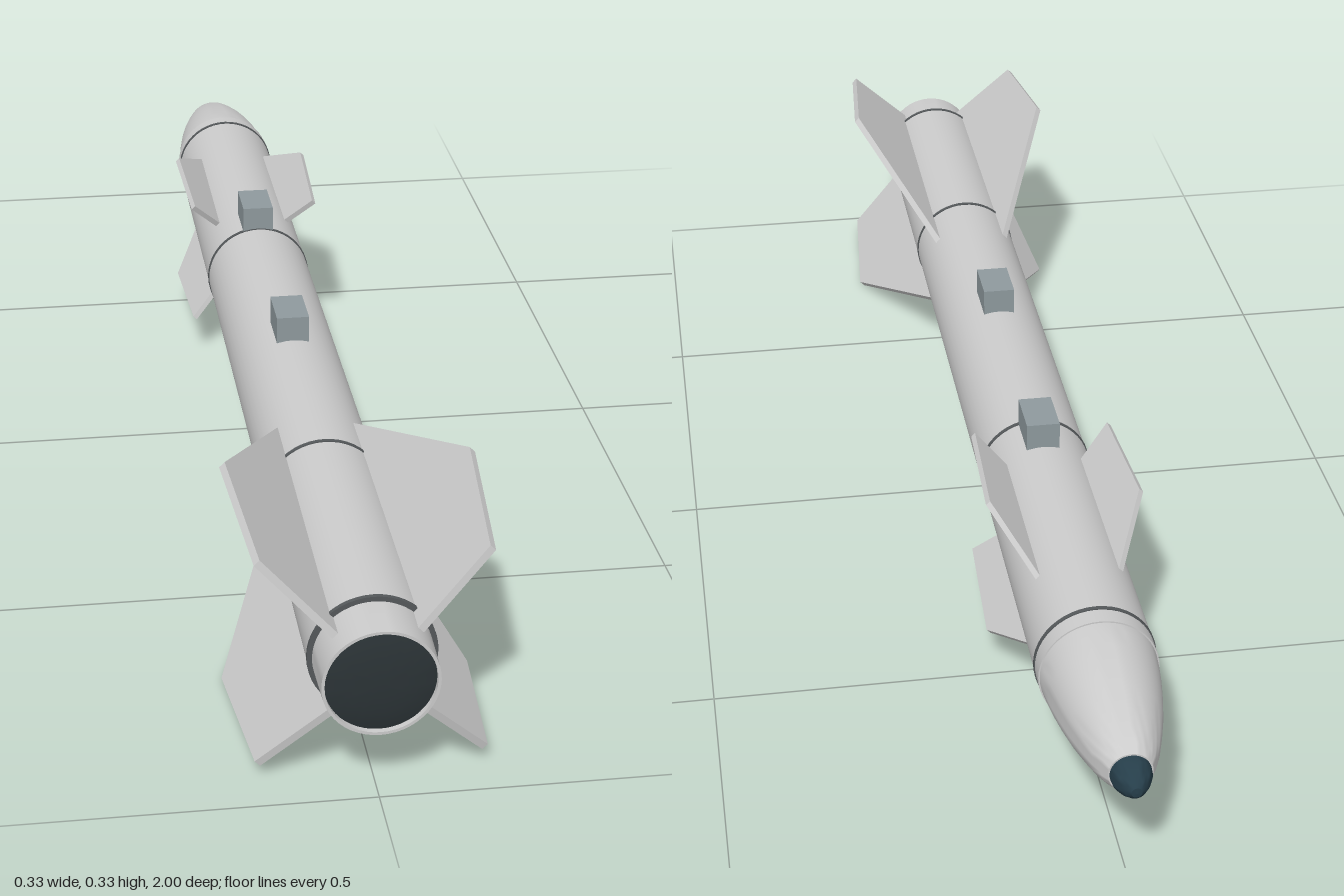
import * as THREE from 'three';
import { toCreasedNormals } from 'three/addons/utils/BufferGeometryUtils.js';

const AXIS_Y = 0.168, R = 0.081;

const paint = (color) => new THREE.MeshStandardMaterial({ color });

export function createModel() {
  const model = new THREE.Group();
  model.name = 'missile';
  const grey = paint(0xcccccc);
  const seamGrey = paint(0x55595b);
  const lugGrey = paint(0x8f9a9e);
  const glass = paint(0x263e4a);
  const dark = paint(0x2b3336);

  const add = (name, geometry, material) => {
    const mesh = new THREE.Mesh(geometry, material);
    mesh.name = name;
    mesh.position.y = AXIS_Y;
    model.add(mesh);
    return mesh;
  };

  // Turned part along z from [radius, z] pairs, listed from nose to tail
  const turned = (name, profile, material) => {
    const points = profile.map(([r, z]) => new THREE.Vector2(r, z));
    const geometry = new THREE.LatheGeometry(points, 48).rotateX(Math.PI / 2);
    return add(name, toCreasedNormals(geometry, 0.5), material);
  };

  // Fuselage and tail collar
  turned('body', [[0, -0.745], [R, -0.745], [R, 0.93], [0, 0.93]], grey);
  turned('tailCollar', [[0.076, 0.93], [0.075, 0.97], [0.074, 1], [0.07, 1], [0.07, 0.985]], grey);
  turned('tailCap', [[0.071, 0.992], [0.06, 0.995], [0.045, 0.9975], [0.025, 0.9993], [0, 1]], dark);

  // Ogive nose with its seeker window
  turned('nose', [[0, -0.958], [0.029, -0.958], [0.036, -0.945], [0.044, -0.925], [0.053, -0.895],
    [0.062, -0.86], [0.069, -0.825], [0.0745, -0.79], [0.078, -0.76], [0.079, -0.745]], grey);
  turned('seekerTip', [[0, -1], [0.007, -0.998], [0.014, -0.991], [0.021, -0.98], [0.026, -0.968],
    [0.027, -0.956]], glass);

  // Panel seams
  for (const z of [-0.715, -0.225, 0.52, 0.93]) {
    const r = R + 0.0015, h = 0.003;
    turned('seamRing', [[R - 0.006, z - h], [r, z - h], [r, z + h], [R - 0.006, z + h]], seamGrey);
  }

  // Four flat fins in an X; outline in [z, radius] pairs
  const fins = (name, outline, thickness) => {
    const shape = new THREE.Shape(outline.map(([z, r]) => new THREE.Vector2(z, r)));
    const geometry = new THREE.ExtrudeGeometry(shape, { depth: thickness, bevelEnabled: false });
    geometry.translate(0, 0, -thickness / 2).rotateY(-Math.PI / 2);
    for (let i = 0; i < 4; i++) {
      add(name, geometry, grey).rotation.z = Math.PI / 4 + i * Math.PI / 2;
    }
  };
  fins('tailFin', [[0.42, 0.07], [0.97, 0.07], [0.94, 0.205], [0.72, 0.23], [0.43, 0.079]], 0.01);
  fins('foreFin', [[-0.6, 0.07], [-0.312, 0.07], [-0.282, 0.141], [-0.48, 0.152], [-0.6, 0.079]], 0.008);

  // Suspension lugs on the spine
  for (const z of [0.16, -0.262]) {
    add('suspensionLug', new THREE.BoxGeometry(0.048, 0.046, 0.078), lugGrey).position.set(0, 0.263, z);
  }

  return model;
}
